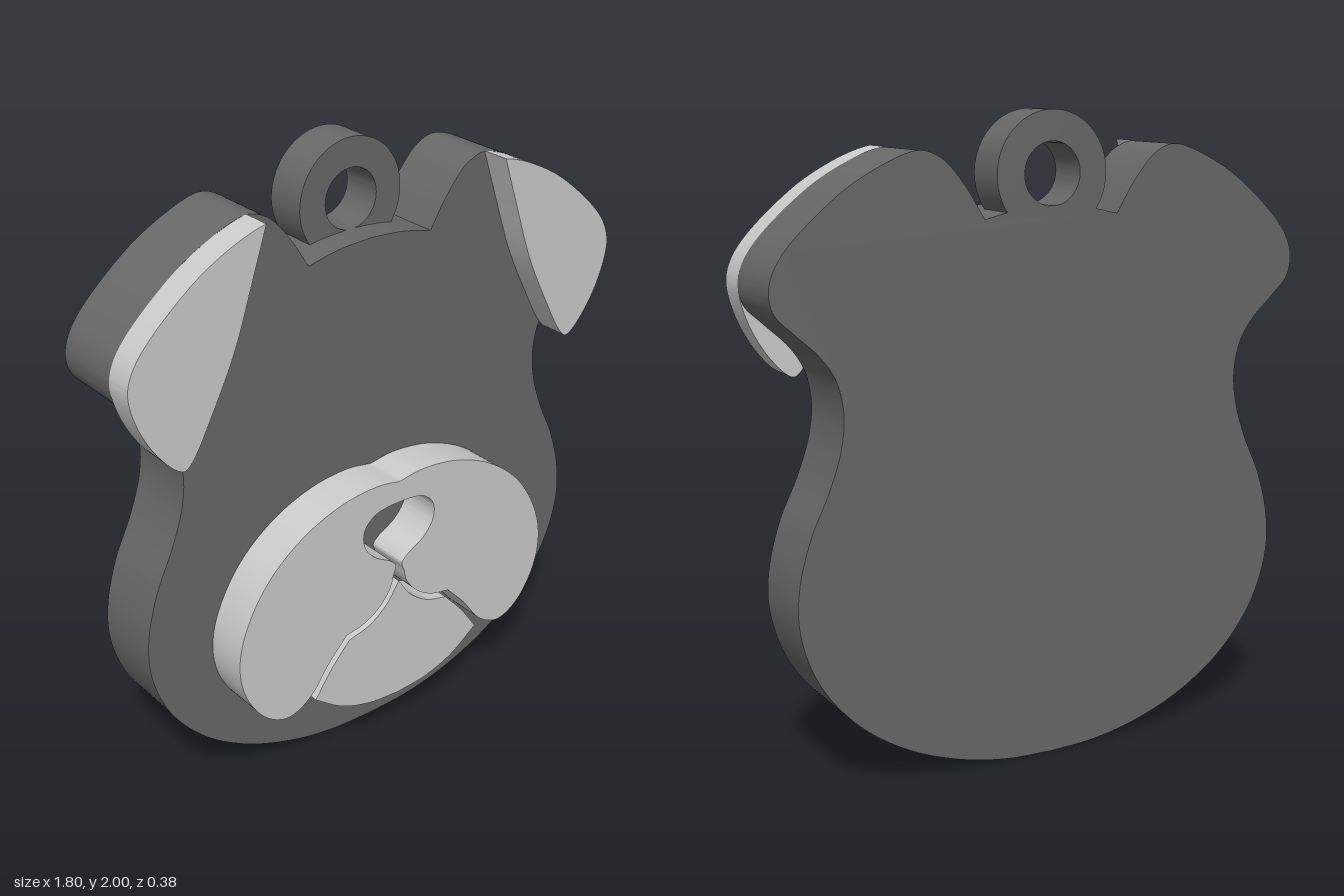
import * as THREE from 'three';
import { toCreasedNormals } from 'three/addons/utils/BufferGeometryUtils.js';

const BACK = -0.19, FACE = 0.045;
const dark = new THREE.MeshStandardMaterial({ color: 0x686868 });
const light = new THREE.MeshStandardMaterial({ color: 0xcccccc });

// Joins smooth curves end to end; a sharp corner stays between two curves.
function trace(curves) {
  const out = [];
  for (const pts of curves) {
    const v = pts.map(([x, y]) => new THREE.Vector3(x, y, 0));
    const line = v.length === 2 ? v
      : new THREE.CatmullRomCurve3(v, false, 'centripetal').getPoints((v.length - 1) * 8);
    out.push(...line.slice(out.length ? 1 : 0).map((p) => new THREE.Vector2(p.x, p.y)));
  }
  return out;
}

// Completes a right half, which starts and ends on x = 0.
function mirror(half) {
  const other = half.slice(1, -1).reverse().map((p) => new THREE.Vector2(-p.x, p.y));
  return half.concat(other);
}

function plate(name, shape, z0, z1, material) {
  const geo = new THREE.ExtrudeGeometry(shape, { depth: z1 - z0, bevelEnabled: false, curveSegments: 40 });
  geo.translate(0, 0, z0);
  const mesh = new THREE.Mesh(toCreasedNormals(geo, 0.5), material);
  mesh.name = name;
  return mesh;
}

export function createModel() {
  const model = new THREE.Group();
  model.name = 'dogHeadTag';

  // Head plate with ears
  const head = mirror(trace([
    [[0, 0], [0.16, 0.008], [0.32, 0.04], [0.5, 0.11], [0.66, 0.22], [0.78, 0.37], [0.835, 0.53],
      [0.835, 0.66], [0.795, 0.81], [0.735, 0.94], [0.695, 1.06], [0.685, 1.16], [0.705, 1.255],
      [0.75, 1.325], [0.83, 1.4], [0.885, 1.455], [0.9, 1.515], [0.885, 1.575], [0.836, 1.645],
      [0.677, 1.783], [0.56, 1.85], [0.465, 1.887], [0.42, 1.89], [0.36, 1.863], [0.29, 1.785],
      [0.228, 1.688]],
    [[0.228, 1.688], [0.12, 1.711], [0, 1.72]],
  ]));
  model.add(plate('head', new THREE.Shape(head), BACK, FACE, dark));

  // Hanging ring
  const ring = new THREE.Shape().absarc(0, 1.813, 0.187, 0, Math.PI * 2, false);
  ring.holes.push(new THREE.Path().absarc(0, 1.813, 0.095, 0, Math.PI * 2, true));
  model.add(plate('hangingRing', ring, BACK, -0.05, dark));

  // Folded ear flaps
  const flap = trace([
    [[0.437, 1.893], [0.48, 1.882], [0.56, 1.85], [0.677, 1.783], [0.836, 1.645], [0.885, 1.575],
      [0.9, 1.513], [0.875, 1.41], [0.82, 1.31], [0.76, 1.245], [0.735, 1.235], [0.71, 1.255],
      [0.63, 1.395], [0.555, 1.55], [0.49, 1.735], [0.437, 1.893]],
  ]).slice(0, -1);
  for (const side of [1, -1]) {
    const pts = flap.map((p) => new THREE.Vector2(side * p.x, p.y));
    model.add(plate(side > 0 ? 'leftEarFlap' : 'rightEarFlap', new THREE.Shape(pts), FACE, 0.14, light));
  }

  // Muzzle, with the nose cut out and open to the mouth groove
  const muzzle = mirror(trace([
    [[0, 0.968], [0.09, 0.98], [0.23, 0.963], [0.38, 0.9], [0.51, 0.79], [0.595, 0.64], [0.615, 0.52],
      [0.59, 0.41], [0.52, 0.31], [0.44, 0.275], [0.36, 0.31], [0.28, 0.41], [0.21, 0.485]],
    [[0.21, 0.485], [0.14, 0.5], [0.08, 0.535], [0.035, 0.59], [0.02, 0.64], [0.012, 0.668],
      [0.035, 0.692], [0.1, 0.732], [0.138, 0.785], [0.138, 0.84], [0.1, 0.88], [0.05, 0.893], [0, 0.895]],
  ]));
  model.add(plate('muzzle', new THREE.Shape(muzzle), FACE, 0.19, light));

  // Chin below the mouth groove
  const chin = mirror(trace([
    [[0, 0.17], [0.12, 0.182], [0.23, 0.22], [0.335, 0.293]],
    [[0.335, 0.293], [0.27, 0.385], [0.2, 0.463]],
    [[0.2, 0.463], [0.12, 0.485], [0.05, 0.535], [0, 0.605]],
  ]));
  model.add(plate('chin', new THREE.Shape(chin), FACE, 0.19, light));

  return model;
}
